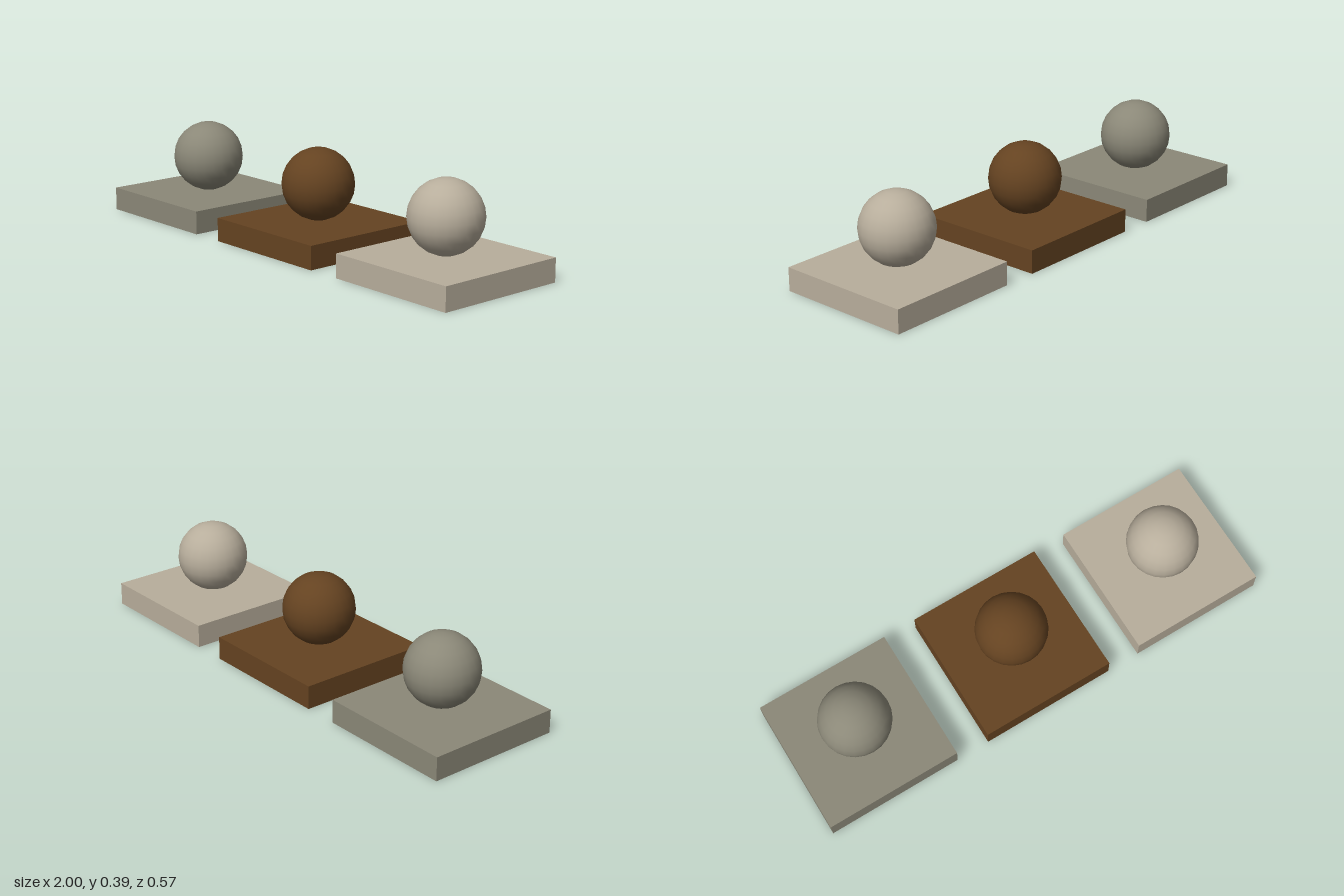
import * as THREE from 'three';

const SIZE = 0.572, HEIGHT = 0.096, RADIUS = 0.147, SPACING = 0.714;

function material(name, hex) {
  const m = new THREE.MeshStandardMaterial({ color: hex });
  m.name = name;
  return m;
}

// Square slab with a ball resting on top
function createStand(name, mat, slabGeometry, ballGeometry) {
  const stand = new THREE.Group();
  stand.name = name;

  const slab = new THREE.Mesh(slabGeometry, mat);
  slab.name = 'slab';
  slab.position.y = HEIGHT / 2;

  const ball = new THREE.Mesh(ballGeometry, mat);
  ball.name = 'ball';
  ball.position.y = HEIGHT + RADIUS + 0.001;

  stand.add(slab, ball);
  return stand;
}

export function createModel() {
  const model = new THREE.Group();
  model.name = 'ballsOnSlabs';

  const slabGeometry = new THREE.BoxGeometry(SIZE, HEIGHT, SIZE);
  const ballGeometry = new THREE.SphereGeometry(RADIUS, 24, 12);

  // Row of three stands, from the model's right to its left
  const stands = [
    ['rightStand', material('stone grey', 0x8b8878)],
    ['middleStand', material('dark brown', 0x654321)],
    ['leftStand', material('pale sand', 0xb8ae9c)],
  ];
  stands.forEach(([name, mat], i) => {
    const stand = createStand(name, mat, slabGeometry, ballGeometry);
    stand.position.x = (i - 1) * SPACING;
    model.add(stand);
  });

  return model;
}
